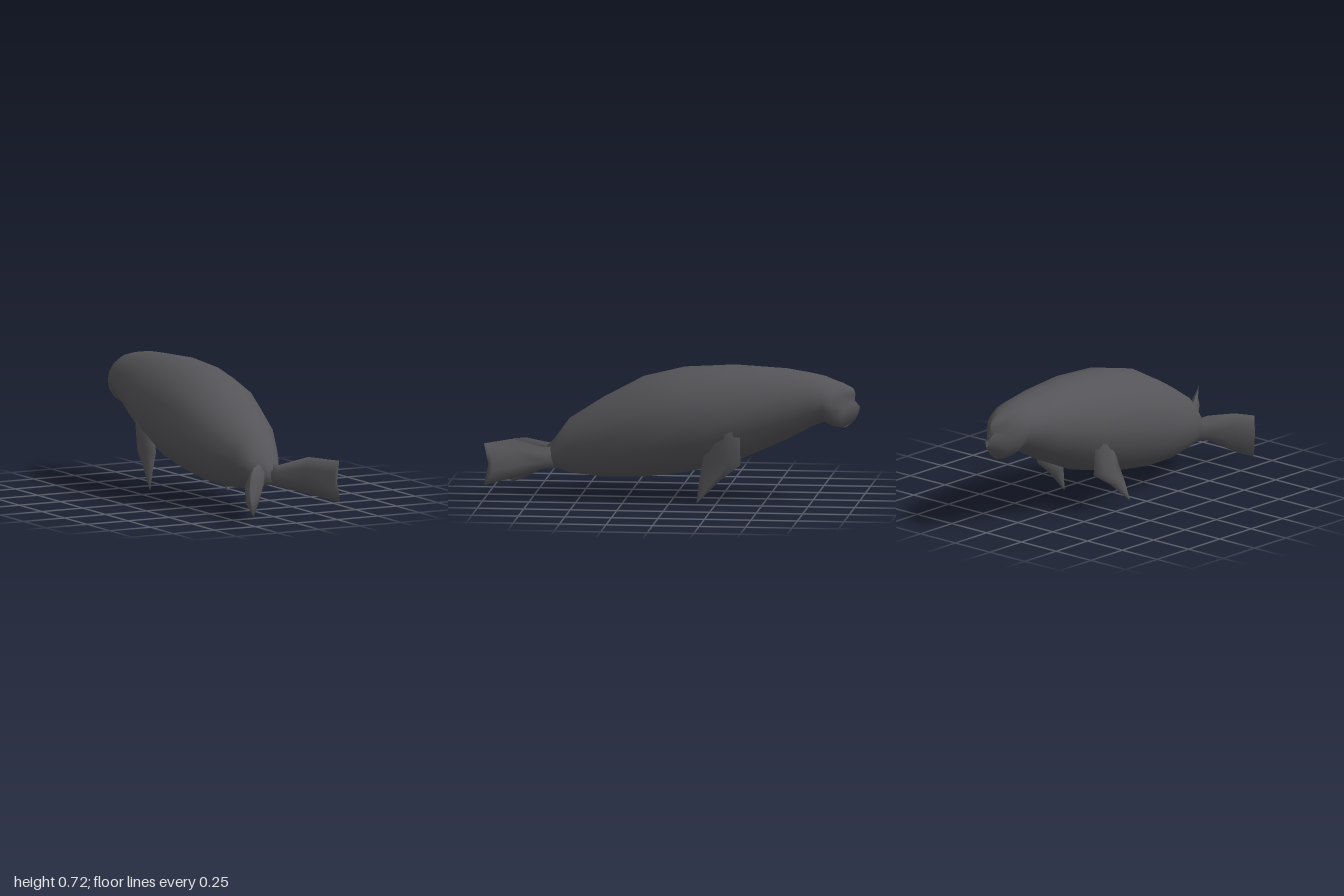
import * as THREE from 'three';

// Skin a list of equal-length rings of [x, y, z] points, closing both ends with fans.
function loft(rings) {
  const n = rings[0].length;
  const pos = rings.flat();
  const idx = [];
  for (let r = 0; r < rings.length - 1; r++) {
    for (let i = 0; i < n; i++) {
      const a = r * n + i, b = r * n + (i + 1) % n;
      idx.push(a, b, a + n, b, b + n, a + n);
    }
  }
  const cap = (start, flip) => {
    const ring = pos.slice(start, start + n);
    const c = pos.length;
    pos.push([0, 1, 2].map(k => ring.reduce((s, p) => s + p[k], 0) / n));
    for (let i = 0; i < n; i++) {
      const a = start + i, b = start + (i + 1) % n;
      flip ? idx.push(a, c, b) : idx.push(a, b, c);
    }
  };
  const last = (rings.length - 1) * n;
  cap(0, true);
  cap(last, false);
  // Turn the faces outward whichever way the rings run
  const v = pos.map(p => new THREE.Vector3(...p));
  let volume = 0;
  for (let i = 0; i < idx.length; i += 3) {
    volume += v[idx[i]].dot(v[idx[i + 1]].clone().cross(v[idx[i + 2]]));
  }
  if (volume < 0) idx.reverse();
  const g = new THREE.BufferGeometry();
  g.setAttribute('position', new THREE.Float32BufferAttribute(pos.flat(), 3));
  g.setIndex(idx);
  g.computeVertexNormals();
  return g;
}

// Thin fin: each section is { lead, trail, t, inset }, thickened along normal n.
function blade(sections, n) {
  return loft(sections.map(({ lead, trail, t, inset = [0, 0, 0] }) => {
    const mid = (f, s) => lead.map((a, k) => a + (trail[k] - a) * f + n[k] * t * s + inset[k]);
    return [lead, mid(0.3, 1), mid(0.7, 1), trail, mid(0.7, -1), mid(0.3, -1)];
  }));
}

function bodyGeometry() {
  // z, top, bottom, half width
  const stations = [
    [0.68, 0.27, 0.165, 0.04], [0.64, 0.31, 0.15, 0.09], [0.56, 0.42, 0.125, 0.135],
    [0.38, 0.536, 0.105, 0.215], [0.16, 0.654, 0.108, 0.265], [-0.06, 0.708, 0.137, 0.28],
    [-0.33, 0.724, 0.2, 0.257], [-0.61, 0.708, 0.325, 0.19], [-0.74, 0.687, 0.395, 0.16],
    [-0.81, 0.672, 0.425, 0.14], [-0.86, 0.652, 0.398, 0.125], [-0.91, 0.635, 0.392, 0.08]
  ];
  const rings = stations.map(([z, top, bottom, w]) => Array.from({ length: 16 }, (_, i) => {
    const a = i * Math.PI / 8;
    return [Math.sin(a) * w, (top + bottom) / 2 + Math.cos(a) * (top - bottom) / 2, z];
  }));
  // Narrow muzzle ridge with a mouth notch, listed from brow to chin
  const ridge = [
    [0.61, -0.96], [0.595, -0.97], [0.575, -0.975], [0.55, -0.945], [0.535, -0.975],
    [0.505, -1], [0.465, -0.99], [0.43, -0.97], [0.398, -0.93]
  ];
  rings.push(Array.from({ length: 16 }, (_, i) => {
    const [y, z] = ridge[i <= 8 ? i : 16 - i];
    return [Math.sin(i * Math.PI / 8) * 0.012, y, z];
  }));
  return loft(rings);
}

// Front flipper on one side; splay swings the tip outward, lift shortens it
function flipperGeometry(side, splay, lift) {
  const p = (x, y, z) => {
    const f = Math.max(0, (0.3 - y) / 0.3);
    return [side * (x + splay * f), y + lift * f, z];
  };
  return blade([
    { lead: p(0.225, 0.42, -0.38), trail: p(0.2, 0.33, -0.2), t: 0.03 },
    { lead: p(0.195, 0.21, -0.38), trail: p(0.195, 0.22, -0.175), t: 0.026 },
    { lead: p(0.205, 0.125, -0.27), trail: p(0.205, 0.13, -0.16), t: 0.018 },
    { lead: p(0.21, 0.004, -0.15), trail: p(0.21, 0, -0.145), t: 0.002 }
  ], [1, 0, 0]);
}

export function createModel() {
  const group = new THREE.Group();
  const hide = new THREE.MeshStandardMaterial({ color: 0x555458 });
  hide.name = 'darkGreyHide';
  const add = (name, geometry) => {
    const mesh = new THREE.Mesh(geometry, hide);
    mesh.name = name;
    group.add(mesh);
  };

  add('body', bodyGeometry());
  add('leftFrontFlipper', flipperGeometry(1, 0, 0));
  add('rightFrontFlipper', flipperGeometry(-1, 0.05, 0.04));

  // Upright hind flippers, one turned slightly lower than the other
  add('leftHindFlipper', blade([
    { lead: [0.03, 0.27, 0.6], trail: [0.03, 0.155, 0.6], t: 0.035 },
    { lead: [0.06, 0.268, 0.7], trail: [0.06, 0.15, 0.7], t: 0.028 },
    { lead: [0.155, 0.325, 0.85], trail: [0.16, 0.122, 0.82], t: 0.02 },
    { lead: [0.268, 0.315, 0.99], trail: [0.274, 0.09, 0.99], t: 0.015, inset: [-0.005, 0, -0.035] }
  ], [0.82, 0, -0.57]));
  add('rightHindFlipper', blade([
    { lead: [-0.03, 0.27, 0.6], trail: [-0.03, 0.155, 0.6], t: 0.035 },
    { lead: [-0.06, 0.28, 0.7], trail: [-0.06, 0.14, 0.7], t: 0.028 },
    { lead: [-0.15, 0.286, 0.81], trail: [-0.13, 0.075, 0.81], t: 0.02 },
    { lead: [-0.22, 0.27, 0.89], trail: [-0.205, 0.034, 0.9], t: 0.015, inset: [-0.015, 0, -0.015] }
  ], [-0.82, 0, -0.57]));

  return group;
}
